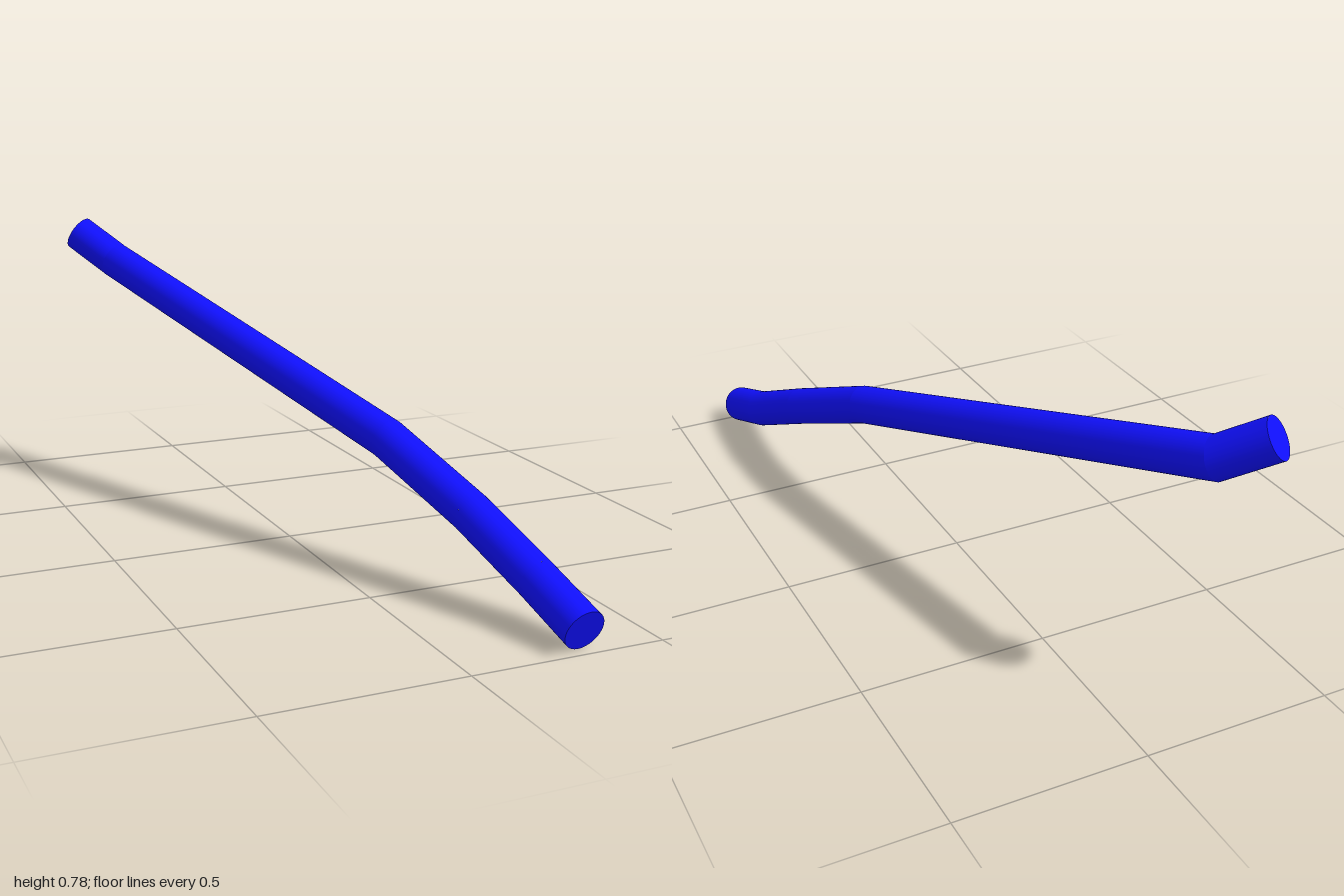
import * as THREE from 'three';

const RADIUS = 0.053;
const SIDES = 48;

// Centre line of the bent bar, from the front end to the back end
const path = [
  [0.297, 0.051, 0.984],
  [0.281, 0.114, 0.805],
  [0.231, 0.216, 0.58],
  [0.148, 0.337, 0.29],
  [-0.219, 0.658, -0.863],
  [-0.305, 0.735, -0.96],
].map((p) => new THREE.Vector3(...p));

export function createModel() {
  const group = new THREE.Group();
  group.name = 'bentBar';
  const material = new THREE.MeshStandardMaterial({ color: 0x1010ff });
  const up = new THREE.Vector3(0, 1, 0);

  const add = (geometry, name) => {
    const mesh = new THREE.Mesh(geometry, material);
    mesh.name = name;
    group.add(mesh);
  };

  const last = path.length - 1;
  const dirs = path.slice(1).map((p, i) => p.clone().sub(path[i]).normalize());
  // Cutting plane normal at each point: square at the ends, mitred at the bends
  const planes = path.map((_, i) =>
    dirs[Math.max(i - 1, 0)].clone().add(dirs[Math.min(i, last - 1)]).normalize());

  // Straight lengths, with their ends slid along the axis onto the mitre planes
  dirs.forEach((dir, i) => {
    const a = path[i];
    const b = path[i + 1];
    const geometry = new THREE.CylinderGeometry(RADIUS, RADIUS, a.distanceTo(b), SIDES, 1, true);
    const pos = geometry.attributes.position;
    const ends = Array.from({ length: pos.count }, (_, k) => (pos.getY(k) > 0 ? i + 1 : i));
    geometry.applyQuaternion(new THREE.Quaternion().setFromUnitVectors(up, dir));
    const mid = a.clone().add(b).multiplyScalar(0.5);
    geometry.translate(mid.x, mid.y, mid.z);
    const p = new THREE.Vector3();
    ends.forEach((e, k) => {
      p.fromBufferAttribute(pos, k);
      const slide = path[e].clone().sub(p).dot(planes[e]) / dir.dot(planes[e]);
      p.addScaledVector(dir, slide);
      pos.setXYZ(k, p.x, p.y, p.z);
    });
    add(geometry, `barSection${i + 1}`);
  });

  // Flat end caps
  const cap = (point, normal, name) => {
    const geometry = new THREE.CircleGeometry(RADIUS, SIDES);
    geometry.applyQuaternion(
      new THREE.Quaternion().setFromUnitVectors(new THREE.Vector3(0, 0, 1), normal));
    geometry.translate(point.x, point.y, point.z);
    add(geometry, name);
  };
  cap(path[0], dirs[0].clone().negate(), 'frontCap');
  cap(path[last], dirs[last - 1], 'backCap');

  return group;
}
